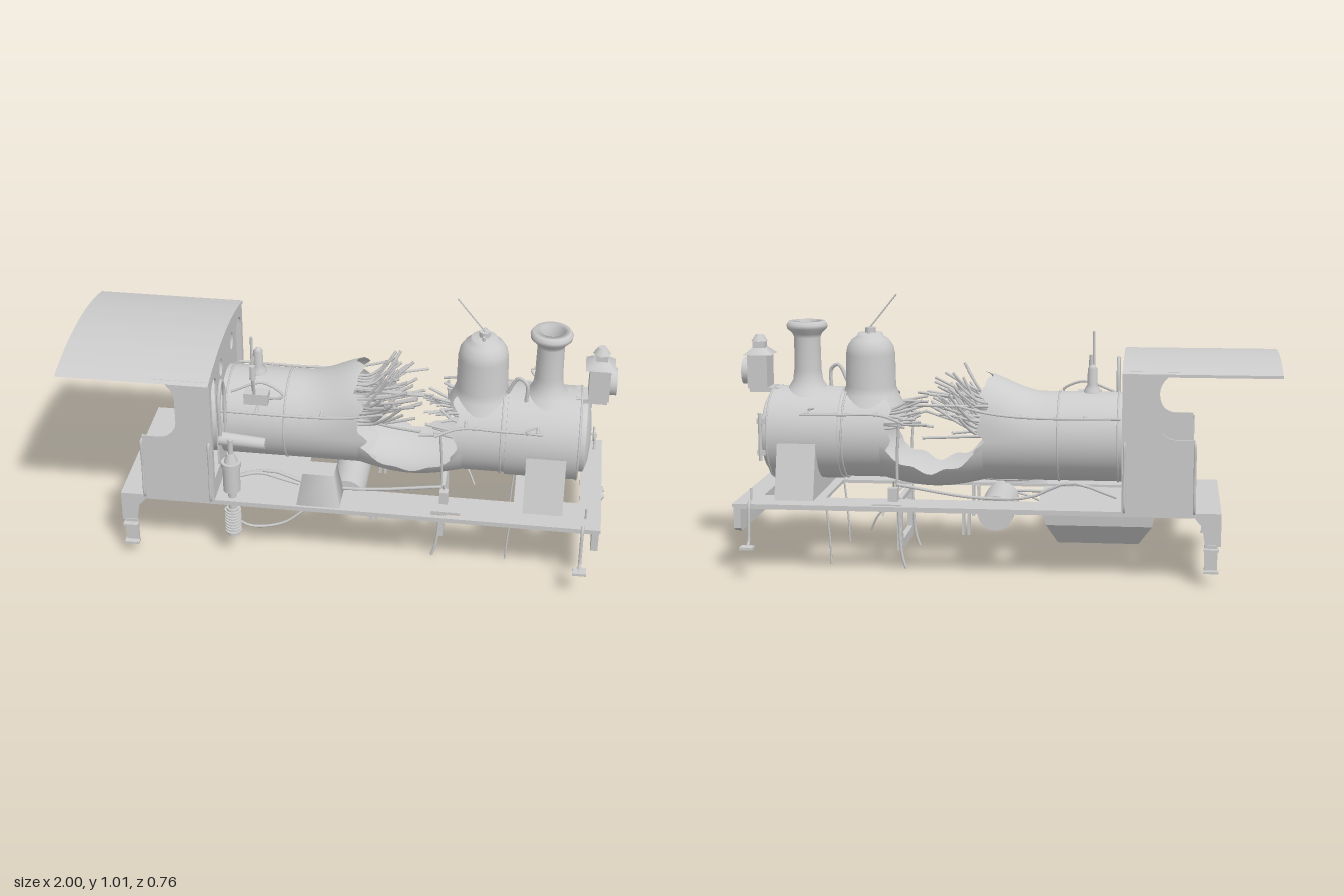
import * as THREE from 'three';
import { ParametricGeometry } from 'three/addons/geometries/ParametricGeometry.js';

const mat = new THREE.MeshStandardMaterial({ color: 0xcccccc });
const thin = new THREE.MeshStandardMaterial({ color: 0xcccccc, side: THREE.DoubleSide });
const V = (x, y, z) => new THREE.Vector3(x, y, z);

export function createModel() {
  const model = new THREE.Group();
  const add = (name, geo, m = mat) => {
    const mesh = new THREE.Mesh(geo, m);
    mesh.name = name;
    model.add(mesh);
    return mesh;
  };
  // box given by its minimum and maximum corners
  const box = (name, x0, x1, y0, y1, z0, z1) => add(name,
    new THREE.BoxGeometry(x1 - x0, y1 - y0, z1 - z0).translate((x0 + x1) / 2, (y0 + y1) / 2, (z0 + z1) / 2));
  const tube = (name, pts, r = 0.005, seg = 16) => add(name,
    new THREE.TubeGeometry(new THREE.CatmullRomCurve3(pts.map(p => V(...p))), seg, r, 6), thin);
  // straight cylinder between two points
  const rod = (name, a, b, r, r2 = r, n = 8) => {
    const A = V(...a), B = V(...b), d = B.clone().sub(A);
    const mesh = add(name, new THREE.CylinderGeometry(r2, r, d.length(), n));
    mesh.position.copy(A).add(B).multiplyScalar(0.5);
    mesh.quaternion.setFromUnitVectors(V(0, 1, 0), d.normalize());
    return mesh;
  };
  // turned part; profile is [radius, height] from bottom to top
  const turned = (name, pts, x, y, z, n = 32) => {
    const mesh = add(name, new THREE.LatheGeometry(pts.map(p => new THREE.Vector2(...p)), n), thin);
    mesh.position.set(x, y, z);
    return mesh;
  };
  const poly = pts => new THREE.Shape(pts.map(p => new THREE.Vector2(...p)));
  const rect = (a, b, c, d) => poly([[a, c], [b, c], [b, d], [a, d]]);
  const extrude = (shape, depth) => new THREE.ExtrudeGeometry(shape, { depth, bevelEnabled: false, curveSegments: 16 });
  // outline in (z, y), running back from x
  const across = (name, shape, x, depth) =>
    add(name, extrude(shape, depth).rotateY(-Math.PI / 2).translate(x, 0, 0));

  // running board with openings
  const deck = rect(-0.79, 0.98, -0.305, 0.305);
  deck.holes.push(rect(-0.6, 0.66, -0.165, 0.165), rect(0.84, 0.9, -0.14, 0.14),
    rect(0.36, 0.47, 0.265, 0.288), rect(0.36, 0.47, -0.288, -0.265));
  add('runningBoard', extrude(deck, 0.012).rotateX(Math.PI / 2).translate(0, 0.27, 0));
  for (const s of [-1, 1]) box('valance', -0.7, 0.95, 0.252, 0.27, s * 0.3 - 0.005, s * 0.3 + 0.005);

  // front beam and coupler pocket
  across('frontBeam', poly([[-0.305, 0.268], [-0.305, 0.18], [-0.28, 0.165], [0.28, 0.165], [0.305, 0.18], [0.305, 0.268]]), 0.975, 0.025);
  const pocket = new THREE.Shape().absellipse(0, 0.228, 0.038, 0.02, 0, Math.PI * 2);
  pocket.holes.push(rect(-0.008, 0.008, 0.214, 0.242));
  across('couplerPocket', pocket, 0.987, 0.012);
  for (const s of [-1, 1]) rod('couplerBolt', [0.985, 0.228, s * 0.022], [0.993, 0.228, s * 0.022], 0.008);

  // rear beam with slot
  const rear = poly([[-0.305, 0.27], [-0.305, 0.15], [-0.26, 0.165], [-0.22, 0.18], [0.22, 0.18], [0.26, 0.165], [0.305, 0.15], [0.305, 0.27]]);
  rear.holes.push(rect(-0.08, 0.08, 0.2, 0.245));
  across('rearBeam', rear, -0.785, 0.012);

  // smokebox, front plate and dished door
  const alongX = (name, pts, x) => { const m = turned(name, pts, x, 0.49, 0, 48); m.rotation.z = -Math.PI / 2; };
  alongX('smokebox', [[0.167, 0], [0.174, 0.001], [0.174, 0.265], [0.17, 0.27], [0.14, 0.271]], 0.615);
  alongX('smokeboxDoor', [[0.143, 0], [0.143, 0.018], [0.136, 0.022], [0.1, 0.033], [0.05, 0.039], [0, 0.041]], 0.884);
  rod('doorSpindle', [0.92, 0.49, 0], [0.945, 0.49, 0], 0.006);
  rod('doorHandle', [0.94, 0.49, 0], [0.94, 0.435, 0.022], 0.005);
  add('doorWheel', new THREE.TorusGeometry(0.024, 0.004, 6, 20).rotateY(Math.PI / 2).translate(0.935, 0.49, 0));
  for (let i = 0; i < 3; i++) {
    const c = Math.cos(i * Math.PI / 3) * 0.024, s = Math.sin(i * Math.PI / 3) * 0.024;
    rod('doorWheelSpoke', [0.935, 0.49 + c, s], [0.935, 0.49 - c, -s], 0.003);
  }
  for (const y of [0.43, 0.55]) box('doorHinge', 0.89, 0.922, y - 0.01, y + 0.01, -0.145, -0.1);
  rod('hingePin', [0.91, 0.4, -0.142], [0.91, 0.58, -0.142], 0.007);

  // slanted saddle
  across('saddle', poly([[-0.235, 0.26], [0.235, 0.26], [0.165, 0.5], [-0.165, 0.5]]), 0.84, 0.145);

  // burst barrel: angle a is measured from the top
  const wall = (x, a, r, t) => t.set(x, 0.49 + r * Math.cos(a), r * Math.sin(a));
  const TAU = Math.PI * 2, smooth = THREE.MathUtils.smoothstep;
  const surface = (name, f, nu, nv) => add(name, new ParametricGeometry(f, nu, nv), thin);
  surface('rearBarrel', (u, v, t) => {
    const a = v * TAU, c = Math.cos(a);
    const end = 0.09 - 0.025 * c + 0.014 * Math.sin(9 * a) + 0.008 * Math.sin(17 * a);
    const x = THREE.MathUtils.lerp(-0.5, end, u);
    wall(x, a, 0.167 + 0.07 * Math.max(0, c) ** 2 * smooth(x, -0.16, 0.09) ** 1.3, t);
  }, 30, 72);
  surface('frontBarrel', (u, v, t) => {
    const a = v * TAU;
    wall(THREE.MathUtils.lerp(0.43 + 0.013 * Math.sin(9 * a), 0.62, u), a, 0.166, t);
  }, 6, 72);
  surface('tornLowerSheet', (u, v, t) => {
    const sag = Math.sin(Math.PI * u), half = 1.4 - 0.5 * sag + 0.06 * Math.sin(u * 21);
    wall(0.07 + 0.39 * u, Math.PI + (v * 2 - 1) * half, 0.166 + 0.03 * sag, t);
  }, 24, 24);
  for (const [x, r] of [[-0.2, 0.168], [-0.42, 0.168], [0.6, 0.169], [0.88, 0.174]])
    add('boilerBand', new THREE.TorusGeometry(r, 0.004, 6, 48).rotateY(Math.PI / 2).translate(x, 0.49, 0));
  add('backhead', new THREE.CircleGeometry(0.167, 40).rotateY(-Math.PI / 2).translate(-0.5, 0.49, 0), thin);
  add('innerTubePlate', new THREE.CircleGeometry(0.16, 40).rotateY(Math.PI / 2).translate(-0.02, 0.49, 0), thin);
  add('smokeboxTubePlate', new THREE.CircleGeometry(0.16, 40).rotateY(Math.PI / 2).translate(0.52, 0.49, 0), thin);

  // burst boiler tubes, splayed upward at the rear and bent back at the front
  let seed = 11;
  const rnd = () => (seed = (seed * 16807) % 2147483647) / 2147483647;
  for (let i = 0; i < 64; i++) {
    const z = (rnd() - 0.5) * 0.24, y = 0.5 + rnd() * 0.13, lift = rnd(), len = 0.1 + rnd() * 0.15;
    const dx = len * (1 - 0.55 * lift), dy = len * lift * 0.75, dz = z * 0.5 + (rnd() - 0.5) * 0.07;
    const x = 0.07 + rnd() * 0.05;
    tube('burstTube', [[0, y, z], [x, y, z], [x + dx * 0.5, y + dy * 0.4, z + dz * 0.5], [x + dx, y + dy, z + dz]], 0.0055, 8);
  }
  for (let i = 0; i < 26; i++) {
    const z = (rnd() - 0.5) * 0.25, y = 0.5 + rnd() * 0.11, l = 0.04 + rnd() * 0.1;
    tube('frontTube', [[0.52, y, z], [0.43, y, z], [0.43 - l, y + (rnd() - 0.3) * 0.06, z + (rnd() - 0.5) * 0.07]], 0.0055, 6);
  }

  // dome with broken valve rod
  turned('dome', [[0.125, -0.03], [0.105, 0.01], [0.094, 0.04], [0.092, 0.16], [0.086, 0.19], [0.07, 0.215], [0.05, 0.228], [0.046, 0.24], [0, 0.242]], 0.515, 0.63, 0);
  rod('domeValve', [0.515, 0.86, 0], [0.515, 0.89, 0], 0.02);
  for (const s of [-1, 1]) rod('domeBolt', [0.515, 0.865, s * 0.035], [0.515, 0.885, s * 0.035], 0.006);
  rod('brokenRod', [0.52, 0.885, 0], [0.415, 1.015, 0], 0.003);

  // chimney
  turned('chimney', [[0.1, -0.02], [0.075, 0.01], [0.056, 0.04], [0.051, 0.08], [0.049, 0.2], [0.055, 0.215], [0.075, 0.235], [0.077, 0.248], [0.068, 0.262], [0.045, 0.262], [0.042, 0.2], [0.042, 0.02]], 0.755, 0.65, 0);

  // headlamp
  box('lampBody', 0.9, 0.975, 0.66, 0.785, -0.053, 0.053);
  box('lampBracket', 0.86, 0.97, 0.645, 0.662, -0.045, 0.045);
  add('lampRim', new THREE.CylinderGeometry(0.05, 0.05, 0.03, 32, 1, true).rotateZ(Math.PI / 2).translate(0.985, 0.72, 0), thin);
  add('lampLens', new THREE.CircleGeometry(0.049, 32).rotateY(Math.PI / 2).translate(0.985, 0.72, 0));
  add('lampRoof', new THREE.CylinderGeometry(0.035, 0.075, 0.025, 4).rotateY(Math.PI / 4).translate(0.937, 0.797, 0));
  box('lampVent', 0.915, 0.96, 0.808, 0.835, -0.022, 0.022);
  add('lampCap', new THREE.CylinderGeometry(0.015, 0.032, 0.025, 8).translate(0.937, 0.846, 0));

  // cab roof, curved across
  const roof = new THREE.Shape(), R = 1.23;
  for (let i = 0; i <= 40; i++) {
    const k = i <= 20 ? i : 40 - i, z = -0.33 + 0.033 * k, r = i <= 20 ? R : R - 0.01;
    roof[i ? 'lineTo' : 'moveTo'](z, 0.817 - R + Math.sqrt(r * r - z * z));
  }
  across('cabRoof', roof, -0.44, 0.56);

  // cab front wall with arched openings and round windows
  const front = new THREE.Shape();
  front.moveTo(-0.305, 0.27).lineTo(0.305, 0.27).lineTo(0.305, 0.77).quadraticCurveTo(0, 0.847, -0.305, 0.77);
  for (const s of [-1, 1]) {
    const arch = new THREE.Path();
    arch.moveTo(s * 0.185, 0.35).lineTo(s * 0.28, 0.35).lineTo(s * 0.28, 0.7)
      .bezierCurveTo(s * 0.28, 0.76, s * 0.185, 0.76, s * 0.185, 0.7);
    front.holes.push(arch, new THREE.Path().absellipse(s * 0.1, 0.722, 0.026, 0.035, 0, TAU));
  }
  across('cabFrontWall', front, -0.44, 0.008);
  tube('openWindowFrame', [[-0.41, 0.55, 0.295], [-0.41, 0.7, 0.295], [-0.41, 0.755, 0.25], [-0.41, 0.7, 0.205], [-0.41, 0.55, 0.205]], 0.007, 30);

  for (const s of [-1, 1]) {
    // cab side
    const side = new THREE.Shape();
    side.moveTo(-0.7, 0.27).lineTo(-0.44, 0.27).lineTo(-0.44, 0.778).lineTo(-0.65, 0.778)
      .quadraticCurveTo(-0.57, 0.765, -0.57, 0.68).lineTo(-0.57, 0.6).quadraticCurveTo(-0.575, 0.54, -0.63, 0.535).lineTo(-0.7, 0.535);
    add('cabSide', extrude(side, 0.008).translate(0, 0, s * 0.305 - 0.004));
    for (const x of [-0.7, -0.45]) tube('cabHandrail', [[x, 0.52, s * 0.305], [x, 0.52, s * 0.322], [x, 0.4, s * 0.322], [x, 0.28, s * 0.322], [x, 0.27, s * 0.305]], 0.005);

    // rear corner bracket and step
    add('rearBracket', extrude(poly([[-0.795, 0.27], [-0.795, 0.15], [-0.74, 0.15], [-0.73, 0.22], [-0.7, 0.255], [-0.7, 0.27]]), 0.012).translate(0, 0, s * 0.3 - 0.006));
    box('rearLeg', -0.785, -0.738, 0.06, 0.155, s * 0.303 - 0.006, s * 0.303 + 0.006);
    for (const y of [0.06, 0.14]) box('rearStep', -0.79, -0.735, y - 0.004, y + 0.004, s * 0.315 - 0.015, s * 0.315 + 0.015);

    // front step on a hanger
    tube('frontStepHanger', [[0.915, 0.28, s * 0.3], [0.915, 0.265, s * 0.315], [0.915, 0.19, s * 0.325], [0.915, 0.13, s * 0.335], [0.915, 0.12, s * 0.36]], 0.006);
    box('frontStep', 0.89, 0.94, 0.114, 0.124, s * 0.358 - 0.02, s * 0.358 + 0.02);
    tube('frontGrabRail', [[0.72, 0.6, s * 0.165], [0.69, 0.615, s * 0.22], [0.7, 0.615, s * 0.235]], 0.004);
    rod('deckPin', [0.925, 0.27, s * 0.235], [0.925, 0.315, s * 0.235], 0.004);

    // broken handrails
    tube('frontHandrail', [[0.36, 0.56, s * 0.21], [0.45, 0.585, s * 0.185], [0.6, 0.585, s * 0.183], [0.75, 0.583, s * 0.183]], 0.005);
    tube('rearHandrail', [[-0.43, 0.585, s * 0.183], [-0.1, 0.585, s * 0.183], [0.05, 0.6, s * 0.19], [0.17, 0.63, s * 0.2]], 0.005);
    for (const x of [-0.3, -0.06, 0.47, 0.73]) rod('railStud', [x, 0.585, s * 0.13], [x, 0.585, s * 0.185], 0.006);

    // bent hanging strips and pipes
    tube('bentStrip', [[0.36, 0.01, s * 0.18], [0.375, 0.06, s * 0.178], [0.385, 0.2, s * 0.175], [0.39, 0.4, s * 0.18], [0.38, 0.56, s * 0.19]], 0.006);
    tube('hangingPipe', [[0.64, 0.02, s * 0.18], [0.645, 0.12, s * 0.18], [0.66, 0.27, s * 0.18]], 0.004);
    tube('tornPipe', [[0.5, 0.14, s * 0.12], [0.47, 0.2, s * 0.14], [0.41, 0.27, s * 0.16], [0.4, 0.34, s * 0.2]], 0.004);
    tube('feedPipe', [[-0.42, 0.3, s * 0.2], [-0.25, 0.35, s * 0.2], [-0.1, 0.29, s * 0.18], [0.1, 0.285, s * 0.18], [0.39, 0.33, s * 0.19]], 0.006);
    box('boardFitting', 0.385, 0.42, 0.27, 0.32, s * 0.2 - 0.015, s * 0.2 + 0.015);
    for (const x of [0.12, 0.14]) box('hangerBar', x, x + 0.01, 0.14, 0.262, s * 0.16 - 0.012, s * 0.16 + 0.012);
  }

  // slide bracket hoop
  const hoop = rect(-0.135, 0.135, 0.065, 0.265);
  hoop.holes.push(rect(-0.11, 0.11, 0.105, 0.245));
  across('slideBracket', hoop, 0.4, 0.02);

  // ash pan, tapered in two steps
  for (const [y, a, b, w, y2, a2, b2, w2] of [[0.262, -0.57, -0.13, 0.16, 0.18, -0.55, -0.16, 0.15], [0.18, -0.55, -0.16, 0.15, 0.1, -0.5, -0.2, 0.085]]) {
    const g = new THREE.BoxGeometry(1, 1, 1), p = g.attributes.position;
    for (let i = 0; i < p.count; i++) {
      const up = p.getY(i) > 0, l = up ? a : a2, r = up ? b : b2;
      p.setXYZ(i, p.getX(i) > 0 ? r : l, up ? y : y2, Math.sign(p.getZ(i)) * (up ? w : w2));
    }
    g.computeVertexNormals();
    add('ashPan', g);
  }
  rod('airTank', [0.03, 0.215, -0.13], [0.03, 0.215, 0.13], 0.066, 0.066, 28);
  rod('tankPipe', [-0.2, 0.24, 0.17], [0.03, 0.24, 0.17], 0.006);

  // tapered toolbox on the board
  const tool = add('toolbox', new THREE.CylinderGeometry(0.082, 0.113, 0.13, 4).rotateY(Math.PI / 4));
  tool.scale.z = 0.75;
  tool.position.set(-0.055, 0.335, 0.235);

  // air pump with ribbed lower cylinder
  rod('pumpSteamCylinder', [-0.38, 0.3, 0.27], [-0.38, 0.41, 0.27], 0.032, 0.032, 20);
  rod('pumpFlange', [-0.38, 0.405, 0.27], [-0.38, 0.425, 0.27], 0.037, 0.037, 20);
  rod('pumpTop', [-0.38, 0.425, 0.27], [-0.38, 0.46, 0.27], 0.026, 0.014, 16);
  rod('pumpValve', [-0.38, 0.46, 0.27], [-0.38, 0.52, 0.27], 0.01);
  rod('pumpStem', [-0.38, 0.2, 0.27], [-0.38, 0.3, 0.27], 0.016);
  rod('pumpAirCylinder', [-0.38, 0.1, 0.27], [-0.38, 0.22, 0.27], 0.023, 0.023, 20);
  for (let i = 0; i < 8; i++) rod('pumpRib', [-0.38, 0.115 + i * 0.013, 0.27], [-0.38, 0.12 + i * 0.013, 0.27], 0.031, 0.031, 20);
  tube('pumpPipe', [[-0.38, 0.16, 0.25], [-0.32, 0.12, 0.24], [-0.2, 0.13, 0.22], [-0.1, 0.2, 0.2], [0, 0.24, 0.17]], 0.005, 24);
  tube('pumpSteamPipe', [[-0.36, 0.36, 0.27], [-0.28, 0.37, 0.25], [-0.2, 0.33, 0.22], [-0.14, 0.3, 0.2]], 0.006);

  // boiler fittings near the cab
  rod('lubricator', [-0.43, 0.49, 0.22], [-0.26, 0.48, 0.22], 0.026, 0.022, 16);
  turned('safetyValve', [[0.035, -0.01], [0.028, 0.015], [0.018, 0.03], [0.018, 0.09], [0.01, 0.1], [0, 0.105]], -0.32, 0.655, 0, 16);
  box('valveBlock', -0.35, -0.26, 0.6, 0.645, 0.1, 0.15);
  rod('valveStem', [-0.32, 0.63, 0.12], [-0.32, 0.87, 0.12], 0.005);
  rod('whistlePost', [-0.31, 0.63, 0.14], [-0.31, 0.72, 0.165], 0.006);
  rod('whistle', [-0.31, 0.72, 0.165], [-0.31, 0.775, 0.165], 0.012, 0.01, 12);
  tube('valvePipe', [[-0.26, 0.62, 0.13], [-0.2, 0.64, 0.14], [-0.28, 0.68, 0.12], [-0.4, 0.64, 0.13]], 0.005);
  tube('domePipe', [[0.61, 0.67, 0.05], [0.65, 0.74, 0.06], [0.68, 0.72, 0.07], [0.68, 0.65, 0.07]], 0.007);
  return model;
}
